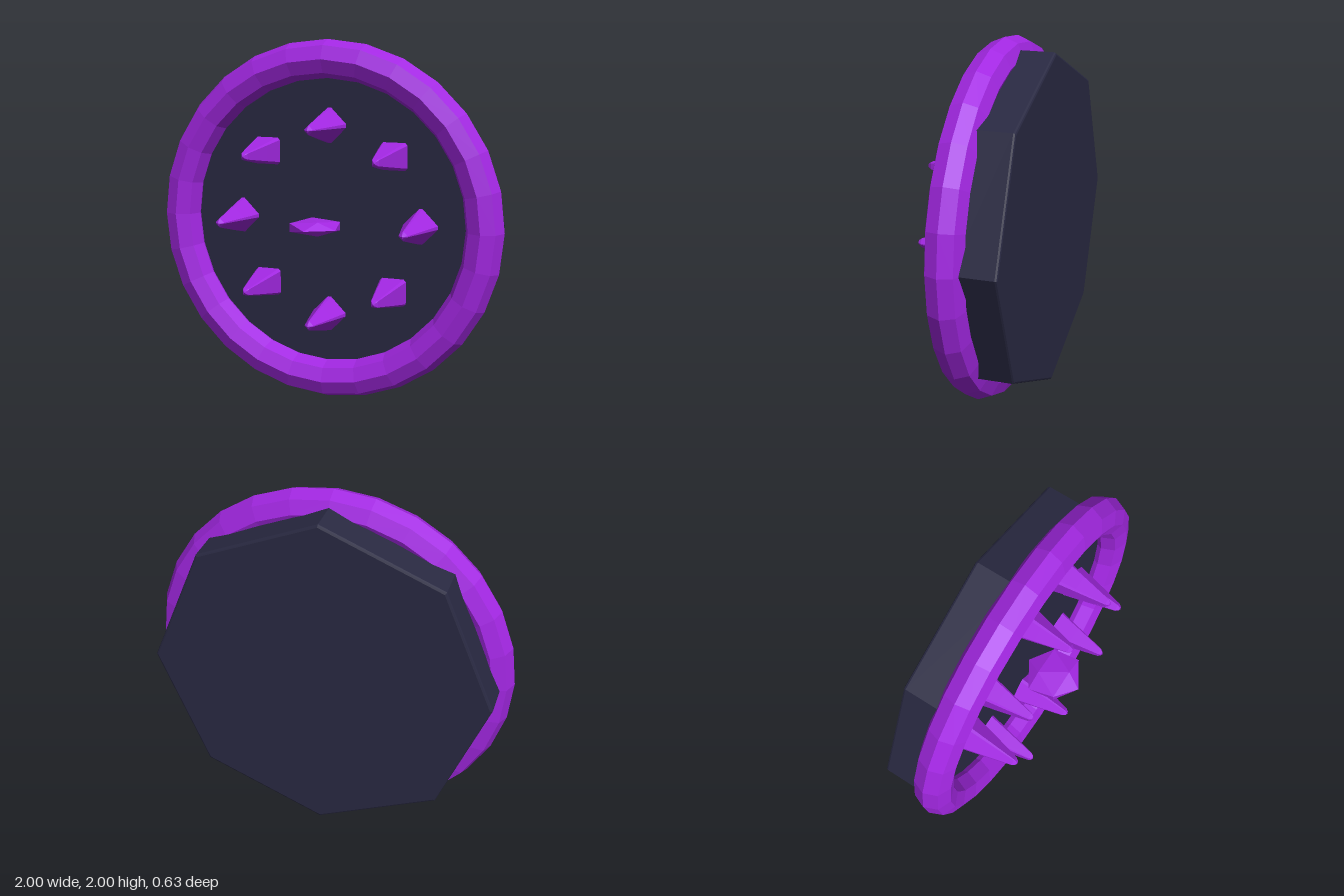
import * as THREE from 'three';

const purple = new THREE.MeshStandardMaterial({ color: 0xa227e2 });
const slate = new THREE.MeshStandardMaterial({ color: 0x292942 });

// Faceted mesh: one normal per face
function part(name, geometry, material) {
  const g = geometry.index ? geometry.toNonIndexed() : geometry;
  g.computeVertexNormals();
  const mesh = new THREE.Mesh(g, material);
  mesh.name = name;
  return mesh;
}

// Solid turned about the z axis from [radius, z] pairs, back to front
function turned(profile, sides, start = 0) {
  const pts = profile.map(([r, z]) => new THREE.Vector2(r, z));
  return new THREE.LatheGeometry(pts, sides, start).rotateX(Math.PI / 2);
}

// Four-sided spike with narrow chamfers: an octagon whose corners are
// drawn together in pairs
function spikeGeometry() {
  const g = turned([
    [0.099, -0.075], [0.098, -0.06], [0.067, 0.07], [0.025, 0.238], [0.013, 0.254], [0, 0.26],
  ], 8, Math.PI / 8);
  const p = g.attributes.position;
  const quarter = Math.PI / 2;
  for (let i = 0; i < p.count; i++) {
    const r = Math.hypot(p.getX(i), p.getY(i));
    const a = Math.atan2(p.getY(i), p.getX(i));
    const corner = Math.round(a / quarter) * quarter;
    const b = corner + (a - corner) * 0.25;
    p.setXY(i, r * Math.cos(b), r * Math.sin(b));
  }
  return g;
}

export function createModel() {
  const model = new THREE.Group();
  model.name = 'spikedShield';

  // Octagonal backing plate with slightly bevelled edges
  model.add(part('backPlate', turned([
    [0, -0.315], [0.922, -0.315], [0.931, -0.311], [0.935, -0.302],
    [0.935, -0.073], [0.922, -0.06], [0, -0.06],
  ], 8), slate));

  // Faceted rim ring
  const rim = part('rim', new THREE.TorusGeometry(0.895, 0.105, 8, 28), purple);
  rim.position.z = -0.03;
  model.add(rim);

  // Eight blunt spikes, one corner of each pointing outwards
  const spikes = new THREE.Group();
  spikes.name = 'spikes';
  const spikeShape = spikeGeometry();
  for (let i = 0; i < 8; i++) {
    const a = (i * Math.PI) / 4;
    const spike = part('spike', spikeShape, purple);
    spike.position.set(0.53 * Math.cos(a), 0.53 * Math.sin(a), 0);
    spike.rotation.z = a;
    spikes.add(spike);
  }
  model.add(spikes);

  // Flattened central crystal with a point facing forwards
  const crystal = new THREE.IcosahedronGeometry(0.16, 0)
    .rotateX(Math.atan(2 / (1 + Math.sqrt(5))))
    .rotateZ(Math.PI / 2)
    .scale(1.02, 0.28, 1)
    .translate(0, 0, 0.152);
  model.add(part('centreCrystal', crystal, purple));

  // Stand the disc on the ground
  for (const child of model.children) child.position.y += 1;
  return model;
}
